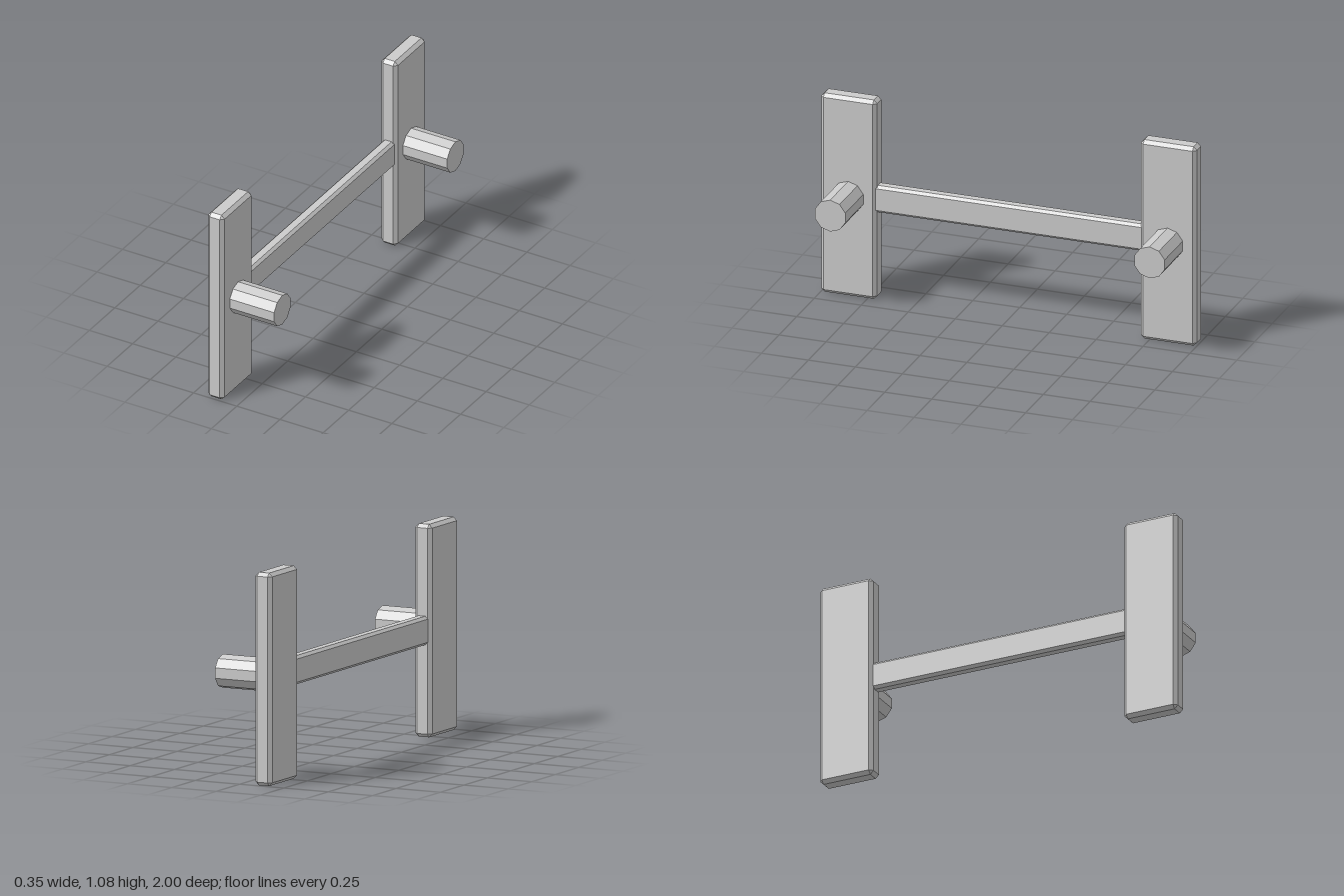
import * as THREE from 'three';
import { ConvexGeometry } from 'three/addons/geometries/ConvexGeometry.js';

const MID_Y = 0.538;
const PLATE_X = -0.128;

// Box with every edge cut at 45 degrees: three inset points per corner
function chamferBox(w, h, d, c) {
  const points = [];
  for (const sx of [-1, 1]) for (const sy of [-1, 1]) for (const sz of [-1, 1]) {
    const x = w / 2, y = h / 2, z = d / 2;
    points.push(
      new THREE.Vector3(sx * x, sy * (y - c), sz * (z - c)),
      new THREE.Vector3(sx * (x - c), sy * y, sz * (z - c)),
      new THREE.Vector3(sx * (x - c), sy * (y - c), sz * z));
  }
  return new ConvexGeometry(points);
}

export function createModel() {
  const group = new THREE.Group();
  const material = new THREE.MeshStandardMaterial({ color: 0xcccccc, flatShading: true });
  const add = (name, geometry, x, y, z) => {
    const mesh = new THREE.Mesh(geometry, material);
    mesh.name = name;
    mesh.position.set(x, y, z);
    group.add(mesh);
  };

  // Upright plates and their ten-sided pegs, one pair at each end
  const plate = chamferBox(0.094, 2 * MID_Y, 0.298, 0.018);
  const pegLength = 0.27;
  const peg = new THREE.CylinderGeometry(0.085, 0.085, pegLength, 10, 1, false, Math.PI / 2);
  peg.rotateZ(Math.PI / 2);
  for (const [side, s] of [['front', 1], ['back', -1]]) {
    add(side + 'Plate', plate, PLATE_X, MID_Y, s * 0.851);
    add(side + 'Peg', peg, 0.175 - pegLength / 2, MID_Y, s * 0.85);
  }

  // Crossbar, its ends sunk into the plates
  add('crossbar', chamferBox(0.066, 0.145, 1.46, 0.014), -0.126, 0.541, 0);

  return group;
}
